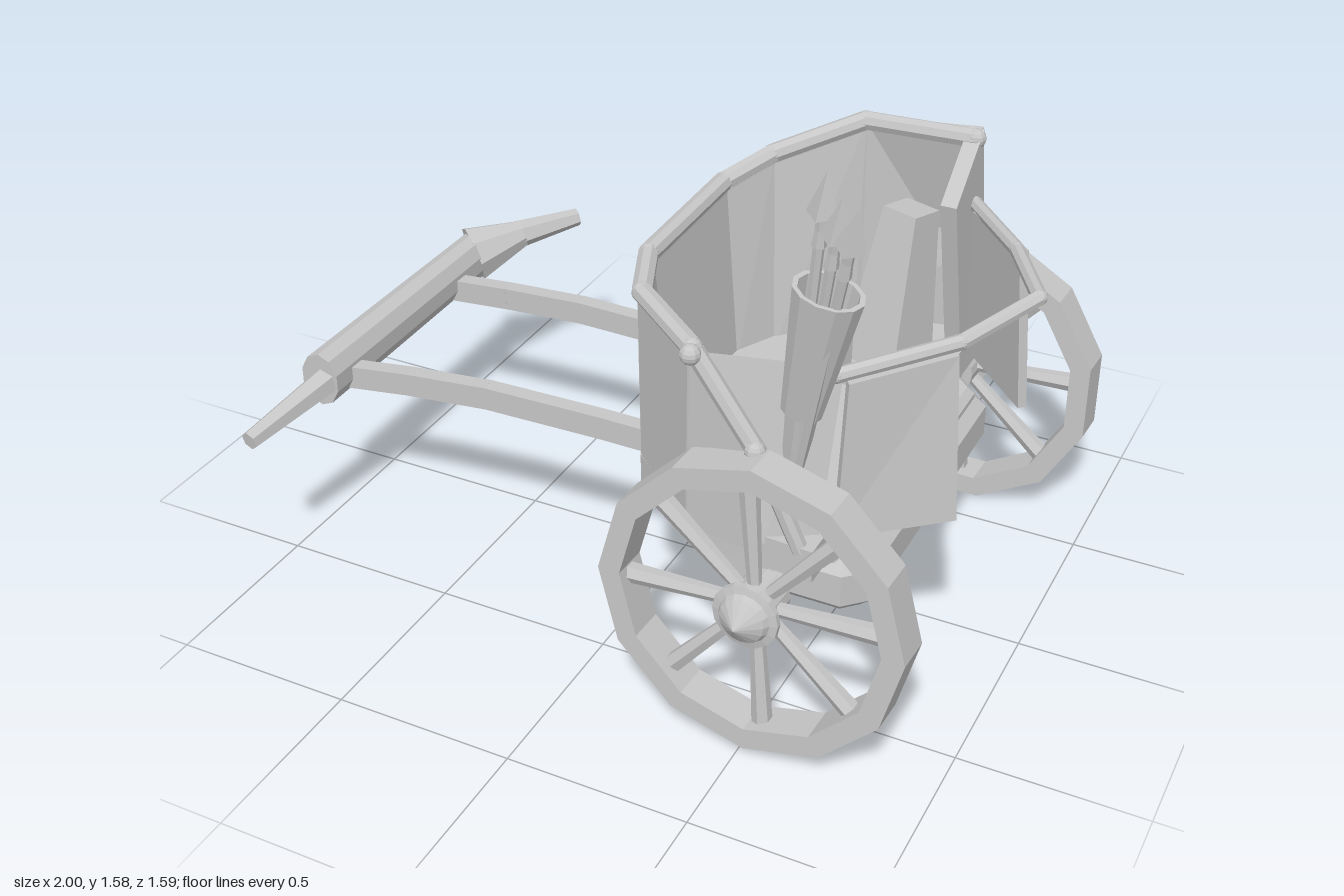
import * as THREE from 'three';

const V = (p) => new THREE.Vector3(...p);

export function createModel() {
  const model = new THREE.Group();
  model.name = 'chariot';
  const grey = new THREE.MeshStandardMaterial({ color: 0xc6c6c6, flatShading: true });
  grey.name = 'plain grey';

  const add = (name, geometry, parent = model) => {
    const mesh = new THREE.Mesh(geometry, grey);
    mesh.name = name;
    parent.add(mesh);
    return mesh;
  };

  // Round bar from a to b, with a radius at each end
  const rod = (name, a, b, ra, rb = ra, sides = 8, parent = model) => {
    const from = V(a), dir = V(b).sub(from);
    const mesh = add(name, new THREE.CylinderGeometry(rb, ra, dir.length(), sides), parent);
    mesh.position.copy(from).addScaledVector(dir, 0.5);
    mesh.quaternion.setFromUnitVectors(new THREE.Vector3(0, 1, 0), dir.normalize());
    return mesh;
  };

  const ball = (name, p, r, parent = model) =>
    add(name, new THREE.SphereGeometry(r, 10, 8), parent).position.set(...p);

  // Bar that follows several points, with round joints
  const bar = (name, points, r) => {
    const group = new THREE.Group();
    group.name = name;
    points.forEach((p, i) => {
      if (i) rod(name + 'Part', points[i - 1], p, r, r, 8, group);
      ball(name + 'Joint', p, r, group);
    });
    model.add(group);
  };

  // Board spanning four corners: bottom a to b, top c back to d
  const board = (name, a, b, c, d, thickness = 0.025) => {
    const geometry = new THREE.BoxGeometry(1, 1, 1);
    const [A, B, C, D] = [a, b, c, d].map(V);
    const normal = B.clone().sub(A).cross(D.clone().sub(A)).normalize();
    const pos = geometry.attributes.position;
    for (let i = 0; i < pos.count; i++) {
      const u = pos.getX(i) + 0.5, v = pos.getY(i) + 0.5, w = pos.getZ(i);
      const p = A.clone().lerp(B, u).lerp(D.clone().lerp(C, u), v).addScaledVector(normal, w * thickness);
      pos.setXYZ(i, p.x, p.y, p.z);
    }
    geometry.computeVertexNormals();
    return add(name, geometry);
  };

  // Flat plate with an x-z outline, from y0 to y1
  const plate = (name, outline, y0, y1, bevel = 0) => {
    const shape = new THREE.Shape(outline.map(([x, z]) => new THREE.Vector2(x, -z)));
    const geometry = new THREE.ExtrudeGeometry(shape, {
      depth: y1 - y0 - 2 * bevel, bevelEnabled: bevel > 0,
      bevelSize: bevel, bevelThickness: bevel, bevelOffset: -bevel, bevelSegments: 1,
    });
    geometry.rotateX(-Math.PI / 2).translate(0, y0 + bevel, 0);
    add(name, geometry);
  };

  // Car floor
  plate('floor', [[0, 0.26], [0.08, 0.42], [0.3, 0.59], [0.64, 0.61], [0.64, -0.59],
    [0.3, -0.53], [0.09, -0.34], [0, -0.2]], 0.5, 0.59);

  // Curved wall, each step giving a foot and a rim point
  const wall = [
    [[0.5, 0.55, 0.61], [0.49, 0.84, 0.61]],
    [[0.3, 0.55, 0.58], [0.31, 1.06, 0.59]],
    [[0.09, 0.55, 0.41], [0.09, 1.07, 0.42]],
    [[0.03, 0.55, 0.25], [0.02, 1.08, 0.25]],
    [[0.03, 0.55, -0.19], [0.02, 1.09, -0.19]],
    [[0.1, 0.55, -0.33], [0.1, 1.13, -0.33]],
    [[0.3, 0.55, -0.52], [0.3, 1.2, -0.5]],
  ];
  // The lining shares the rim but stands further in at the floor
  const inset = ([x, y, z]) => [x + (0.35 - x) * 0.13, y, z * 0.87];
  for (let i = 1; i < wall.length; i++) {
    const [footA, rimA] = wall[i - 1], [footB, rimB] = wall[i];
    board('wall', footA, footB, rimB, rimA);
    if (i > 1) board('wallLining', inset(footA), inset(footB), rimB, rimA, 0.02);
  }
  bar('rim', [...wall.slice(1).map((step) => step[1]), [0.62, 1.215, -0.49]], 0.027);

  // Side wings behind the curved wall
  board('rightWingLower', [0.3, 0.55, -0.52], [0.63, 0.55, -0.59], [0.63, 0.89, -0.58], [0.48, 0.89, -0.58]);
  board('rightWingUpper', [0.48, 0.89, -0.58], [0.63, 0.89, -0.58], [0.63, 1.24, -0.5], [0.3, 1.2, -0.51]);
  board('rightWingFold', [0.3, 0.55, -0.52], [0.48, 0.88, -0.58], [0.48, 0.9, -0.58], [0.3, 1.2, -0.51]);
  board('rightWingReturn', [0.615, 0.57, -0.59], [0.615, 0.57, -0.44], [0.615, 1.09, -0.31], [0.615, 1.24, -0.5], 0.045);
  board('leftWing', [0.5, 0.57, 0.6], [0.62, 0.58, 0.53], [0.64, 1.02, 0.46], [0.33, 1.05, 0.59], 0.02);
  board('leftWingPeak', [0.58, 1.0, 0.55], [0.64, 1.0, 0.43], [0.645, 1.1, 0.44], [0.64, 1.22, 0.51], 0.02);
  rod('leftStrap', [0.32, 1.06, 0.6], [0.5, 0.82, 0.61], 0.025);
  rod('leftStrapLower', [0.5, 0.82, 0.61], [0.6, 0.57, 0.59], 0.022);
  for (const p of [[0.32, 1.06, 0.62], [0.49, 0.84, 0.62], [0.32, 1.18, -0.53], [0.48, 0.89, -0.6]]) {
    ball('stud', p, 0.027);
  }

  // Rear rail and its hanging panels
  bar('rearRail', [[0.63, 1.01, 0.48], [0.86, 1.05, 0.27], [0.98, 1.095, 0.06],
    [0.84, 1.07, -0.2], [0.64, 1.04, -0.46]], 0.02);
  board('leftRearPanel', [0.65, 0.57, 0.5], [0.89, 0.58, 0.31], [0.86, 1.03, 0.29], [0.66, 1.0, 0.48]);
  board('rightRearPanel', [0.89, 0.605, -0.21], [0.66, 0.6, -0.45], [0.66, 1.04, -0.42], [0.86, 1.07, -0.2]);

  // Under tray in two tiers
  const rect = (x0, x1, z0, z1, c) => [[x0 + c, z1], [x1 - c, z1], [x1, z1 - c], [x1, z0 + c],
    [x1 - c, z0], [x0 + c, z0], [x0, z0 + c], [x0, z1 - c]];
  plate('lowerTray', rect(0.28, 0.73, -0.48, 0.49, 0.06), 0.32, 0.48, 0.035);
  plate('upperTray', rect(0.29, 0.7, -0.46, 0.47, 0.06), 0.43, 0.51, 0.02);

  // Axle and wheels, slightly skewed
  const running = new THREE.Group();
  running.name = 'axleAndWheels';
  running.position.set(0.542, 0.425, 0);
  running.quaternion.setFromUnitVectors(new THREE.Vector3(0, 0, 1), V([-0.03, 0.02, 1]).normalize());
  model.add(running);
  rod('axle', [0, 0, -0.66], [0, 0, 0.66], 0.036, 0.036, 10, running);

  const makeWheel = (side, turn, radius) => {
    const wheel = new THREE.Group();
    wheel.name = side > 0 ? 'leftWheel' : 'rightWheel';
    const ring = (r) => Array.from({ length: 12 }, (_, i) => {
      const a = (i + turn) * Math.PI / 6;
      return new THREE.Vector2(r * Math.cos(a), r * Math.sin(a));
    });
    const felloe = new THREE.Shape(ring(radius));
    felloe.holes.push(new THREE.Path(ring(radius - 0.06).reverse()));
    add('wheelRim', new THREE.ExtrudeGeometry(felloe, { depth: 0.104, bevelEnabled: false }).translate(0, 0, -0.052), wheel);
    for (let i = 0; i < 8; i++) {
      const a = (i + 0.1) * Math.PI / 4, c = Math.cos(a), s = Math.sin(a);
      rod('spoke', [0.05 * c, 0.05 * s, 0], [0.36 * c, 0.36 * s, 0], 0.018, 0.027, 6, wheel);
    }
    // Hub profile turned about the axle, with a pointed cap
    const hub = [[0, -0.06], [0.065, -0.06], [0.065, 0.04], [0.088, 0.045], [0.088, 0.06],
      [0.068, 0.065], [0.06, 0.08], [0, 0.125]].map(([r, y]) => new THREE.Vector2(r, y));
    add('hub', new THREE.LatheGeometry(hub, 16).rotateX(side * Math.PI / 2), wheel);
    wheel.position.z = side * 0.67;
    running.add(wheel);
  };
  makeWheel(1, 0, 0.411);
  makeWheel(-1, 0.5, 0.421);

  // Draught poles, bent down toward the yoke
  const poleSteps = [[0.3, 0.55, 0], [-0.1, 0.555, 0.003], [-0.45, 0.555, 0.012], [-0.7, 0.535, 0.02], [-0.92, 0.51, 0.03]];
  for (const [z, sign] of [[0.285, 1], [-0.215, -1]]) {
    const points = poleSteps.map(([x, y, out]) => [x, y, z + sign * out]);
    for (let i = 1; i < points.length; i++) {
      const [a, b] = [points[i - 1], points[i]];
      board('pole', [b[0], b[1] - 0.034, b[2]], [a[0], a[1] - 0.034, a[2]],
        [a[0], a[1] + 0.034, a[2]], [b[0], b[1] + 0.034, b[2]], 0.046);
    }
  }

  // Yoke, taller than wide, with a flared horn at one end and a plain one at the other
  rod('yoke', [-0.93, 0.54, -0.42], [-0.928, 0.535, 0.41], 0.056, 0.06, 10).scale.z = 1.35;
  rod('rightHornFlare', [-0.935, 0.54, -0.41], [-0.83, 0.58, -0.53], 0.088, 0.042, 8);
  rod('rightHorn', [-0.84, 0.577, -0.52], [-0.71, 0.6, -0.67], 0.043, 0.027, 6);
  rod('leftHorn', [-0.915, 0.53, 0.4], [-0.965, 0.485, 0.69], 0.042, 0.027, 6);

  // Open quiver with a long tapered tail and three arrows
  const base = V([0.57, 0.93, 0.54]), lean = V([0.07, 0.355, 0.03]);
  const quiver = add('quiver', new THREE.LatheGeometry([[0, 0], [0.052, 0], [0.088, 0.36], [0.075, 0.36], [0.045, 0.02], [0, 0.02]]
    .map(([r, y]) => new THREE.Vector2(r, y)), 12));
  quiver.scale.z = 0.8;
  quiver.position.copy(base);
  quiver.quaternion.setFromUnitVectors(new THREE.Vector3(0, 1, 0), lean.normalize());
  rod('quiverTail', [0.53, 0.57, 0.53], [0.575, 0.95, 0.54], 0.018, 0.042, 6);
  for (const [x, y, z] of [[0.63, 1.58, 0.58], [0.68, 1.54, 0.61], [0.73, 1.535, 0.64]]) {
    const foot = V([0.535, 0.58, 0.535]), tip = V([x, y, z]);
    const neck = tip.clone().lerp(foot, 0.11);
    rod('arrowShaft', foot.toArray(), neck.toArray(), 0.009, 0.014, 6);
    rod('arrowHead', neck.toArray(), tip.toArray(), 0.04, 0.001, 4);
    rod('arrowSocket', tip.clone().lerp(foot, 0.19).toArray(), neck.toArray(), 0.018, 0.01, 6);
  }
  rod('spear', [0.5, 0.59, 0.2], [0.62, 1.0, 0.46], 0.012, 0.016, 6);

  // Tapered case standing inside the car
  rod('innerCase', [0.48, 0.59, -0.26], [0.51, 1.06, -0.32], 0.13, 0.075, 4).rotateY(0.5);
  add('caseFoot', new THREE.BoxGeometry(0.25, 0.045, 0.18)).position.set(0.49, 0.612, -0.22);

  return model;
}
